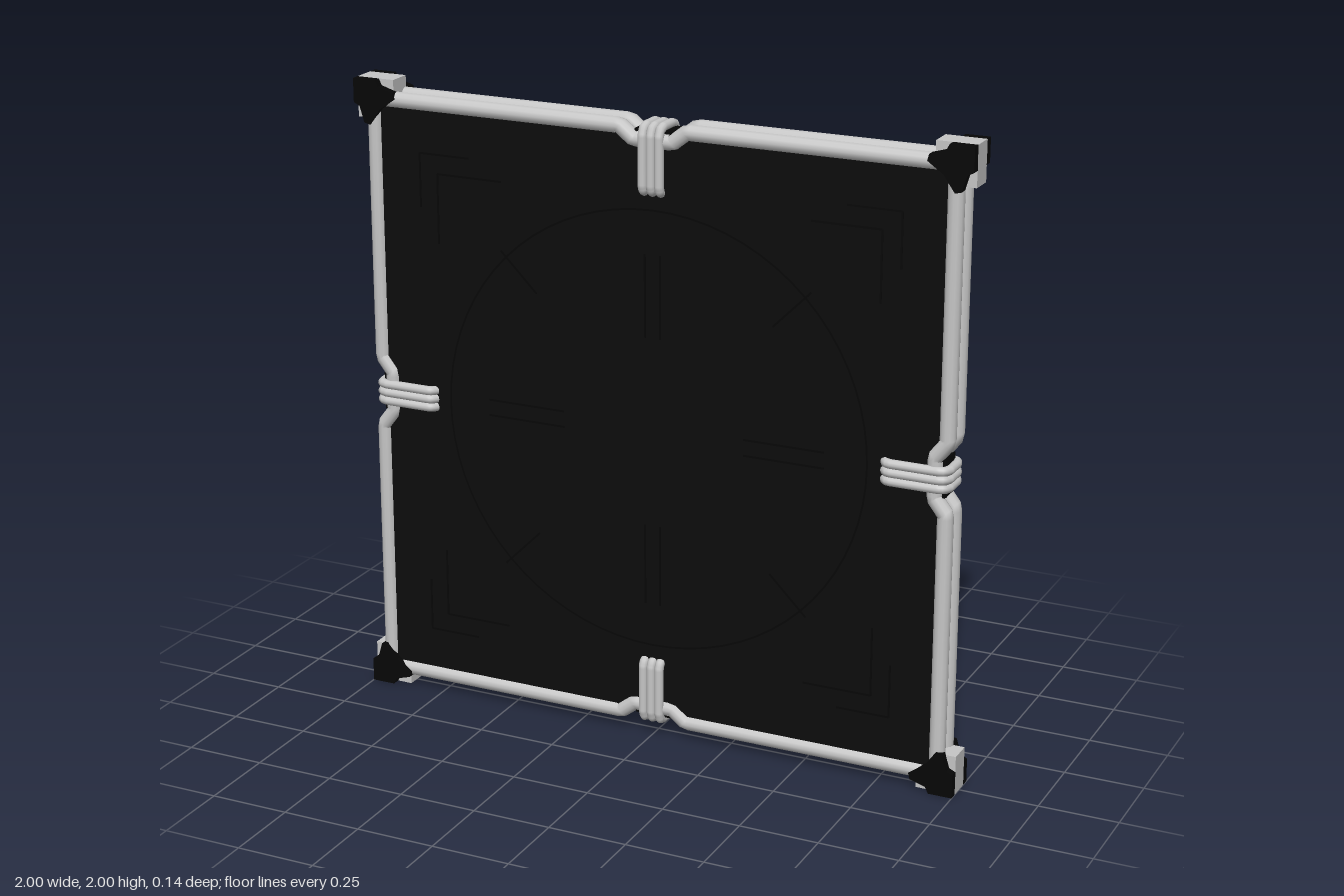
import * as THREE from 'three';

const metal = new THREE.MeshStandardMaterial({ color: 0xc6c6c6 });
metal.name = 'light grey metal';
const black = new THREE.MeshStandardMaterial({ color: 0x0c0c0c });
black.name = 'black panel';
const capBlack = new THREE.MeshStandardMaterial({ color: 0x060606 });
capBlack.name = 'deep black';

function add(parent, name, geometry, material, x = 0, y = 0, z = 0) {
  const mesh = new THREE.Mesh(geometry, material);
  mesh.name = name;
  mesh.position.set(x, y, z);
  parent.add(mesh);
  return mesh;
}

const box = (w, h, d) => new THREE.BoxGeometry(w, h, d);

// Round bar following straight segments between points
function bar(points, radius, segments) {
  const path = new THREE.CatmullRomCurve3(points.map((p) => new THREE.Vector3(...p)), false, 'catmullrom', 0);
  return new THREE.TubeGeometry(path, segments, radius, 12, false);
}

// One side of the frame, built along the +x edge
function makeSide() {
  const side = new THREE.Group();
  side.name = 'frameSide';
  for (const z of [0.035, -0.035]) {
    const pts = [[0.94, -0.92], [0.94, -0.11], [0.905, -0.065], [0.905, 0.065], [0.94, 0.11], [0.94, 0.92]];
    add(side, 'frameTube', bar(pts.map(([x, y]) => [x, y, z]), 0.025, 140), metal);
  }
  add(side, 'clipCore', box(0.05, 0.12, 0.08), capBlack, 0.912, 0, 0);

  // Three bars bent around the edge
  const half = [[0.75, 0.04], [0.757, 0.052], [0.77, 0.056], [0.92, 0.056], [0.94, 0.049], [0.947, 0.03]];
  const loop = [...half, ...half.map(([x, z]) => [x, -z]).reverse()];
  for (const y of [-0.027, 0, 0.027]) {
    add(side, 'clipBar', bar(loop.map(([x, z]) => [x, y, z]), 0.0145, 80), metal);
  }
  return side;
}

// Corner block with angular cover plates on both faces
function makeCorner() {
  const corner = new THREE.Group();
  corner.name = 'corner';
  add(corner, 'cornerBlock', box(0.125, 0.125, 0.076), metal, 0.9375, 0.9375, 0);
  const outline = [[0, 0], [0.075, 0], [0.085, 0.02], [0.135, 0.035], [0.14, 0.055], [0.09, 0.09],
    [0.055, 0.14], [0.035, 0.135], [0.02, 0.085], [0, 0.075]];
  const shape = new THREE.Shape(outline.map(([a, b]) => new THREE.Vector2(1 - a, 1 - b)));
  const plate = new THREE.ExtrudeGeometry(shape, { depth: 0.028, bevelEnabled: false });
  add(corner, 'cornerCover', plate, capBlack, 0, 0, 0.037);
  add(corner, 'cornerCover', plate, capBlack, 0, 0, -0.065);
  return corner;
}

// Faint line work on the front of the panel, one quarter
function makeLines() {
  const lines = new THREE.Group();
  lines.name = 'panelLines';
  const z = 0.0455;
  for (const [e, len] of [[0.785, 0.17], [0.725, 0.22]]) {
    add(lines, 'cornerLine', box(len, 0.006, 0.002), capBlack, e - len / 2, e, z);
    add(lines, 'cornerLine', box(0.006, len, 0.002), capBlack, e, e - len / 2, z);
  }
  for (const s of [-0.025, 0.025]) {
    add(lines, 'crossLine', box(0.26, 0.006, 0.002), capBlack, 0.43, s, z);
  }
  const diagonal = add(lines, 'diagonalLine', box(0.17, 0.006, 0.002), capBlack, 0.45, 0.45, z);
  diagonal.rotation.z = Math.PI / 4;
  return lines;
}

export function createModel() {
  const model = new THREE.Group();
  model.name = 'framedPanel';
  const body = new THREE.Group();
  body.name = 'panelAssembly';
  body.position.y = 1;
  model.add(body);

  // Two sheets with a narrow gap between them
  for (const s of [1, -1]) {
    add(body, s > 0 ? 'frontPanel' : 'backPanel', box(1.85, 1.85, 0.033), black, 0, 0, s * 0.0285);
  }
  add(body, 'circleLine', new THREE.RingGeometry(0.693, 0.699, 72), capBlack, 0, 0, 0.0462);

  for (let i = 0; i < 4; i++) {
    for (const part of [makeSide(), makeCorner(), makeLines()]) {
      part.rotation.z = i * Math.PI / 2;
      body.add(part);
    }
  }

  // Exposed metal strips on the back
  for (const sx of [1, -1]) {
    for (const sy of [1, -1]) {
      add(body, 'backStrip', box(0.09, 0.035, 0.004), metal, sx * 0.825, sy * 0.705, -0.046);
    }
  }
  add(body, 'backStrip', box(0.012, 0.19, 0.004), metal, 0.785, 0.79, -0.046);
  add(body, 'backStrip', box(0.015, 0.17, 0.004), metal, -0.77, -0.79, -0.046);
  return model;
}
